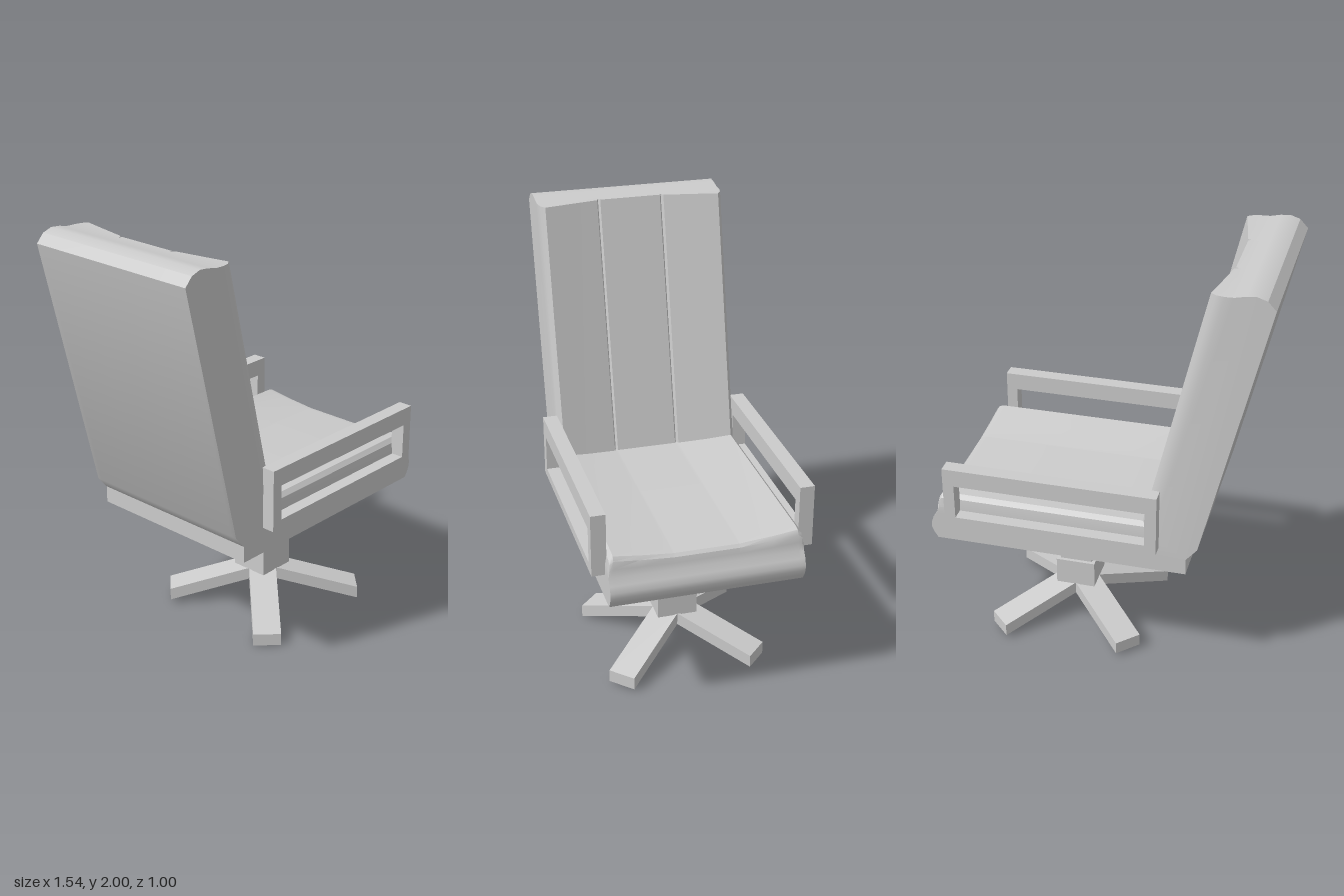
import * as THREE from 'three';
import { toCreasedNormals } from 'three/addons/utils/BufferGeometryUtils.js';

const material = new THREE.MeshStandardMaterial({ color: 0xcccccc, side: THREE.DoubleSide });

function addMesh(parent, name, geometry) {
  const mesh = new THREE.Mesh(geometry, material);
  mesh.name = name;
  parent.add(mesh);
  return mesh;
}

// Side outline of the cushions; seatY is the seat height, inset moves the backrest face back
function cushionOutline(seatY, inset) {
  const lift = y => 0.74 + (y - 0.74) * (seatY - 0.74) / 0.1;
  const faceX = y => -0.5 + (1.985 - y) * 0.236 + inset;
  return [
    [-0.435, 0.6], [0.74, 0.6], [0.757, 0.627], [0.768, 0.655], [0.768, 0.68],
    [0.758, 0.71], [0.738, 0.74], [0.734, lift(0.78)], [0.728, lift(0.815)],
    [0.715, lift(0.834)], [0.69, lift(0.84)],
    [faceX(seatY), seatY], [faceX(1.985), 1.985],
    [-0.6, 1.986], [-0.645, 1.996], [-0.69, 2], [-0.735, 1.985], [-0.772, 1.945],
    [-0.485, 0.74], [-0.435, 0.68]
  ];
}

// Loft the outline across the width: z, seat height, backrest inset
function cushionGeometry() {
  const half = [
    [0.44, 0.775, -0.06], [0.433, 0.82, -0.025], [0.415, 0.84, 0], [0.3, 0.825, -0.022],
    [0.16, 0.812, -0.047], [0.152, 0.811, -0.066], [0.144, 0.811, -0.052]
  ];
  const stations = [
    ...half.map(([z, s, f]) => [-z, s, f]),
    ...half.slice().reverse()
  ];
  const rings = stations.map(([z, s, f]) =>
    cushionOutline(s, f).map(([x, y]) => new THREE.Vector3(x, y, z)));
  const n = rings[0].length;
  const points = [];
  for (let j = 0; j < rings.length - 1; j++) {
    for (let i = 0; i < n; i++) {
      const k = (i + 1) % n;
      const a = rings[j][i], b = rings[j][k], c = rings[j + 1][i], d = rings[j + 1][k];
      points.push(a, b, c, b, d, c);
    }
  }
  // Side caps
  const last = rings[rings.length - 1];
  const flat = last.map(p => new THREE.Vector2(p.x, p.y));
  for (const [a, b, c] of THREE.ShapeUtils.triangulateShape(flat, [])) {
    points.push(last[a], last[b], last[c], rings[0][a], rings[0][c], rings[0][b]);
  }
  return toCreasedNormals(new THREE.BufferGeometry().setFromPoints(points), 0.5);
}

function rectangle(Type, x0, y0, x1, y1) {
  const path = new Type();
  path.moveTo(x0, y0).lineTo(x1, y0).lineTo(x1, y1).lineTo(x0, y1).closePath();
  return path;
}

export function createModel() {
  const chair = new THREE.Group();
  chair.name = 'swivelChair';

  addMesh(chair, 'seatAndBackrest', cushionGeometry());

  // Rectangular armrest frames
  const frame = rectangle(THREE.Shape, -0.31, 0.725, 0.677, 1.018);
  frame.holes.push(rectangle(THREE.Path, -0.257, 0.767, 0.625, 0.934));
  const armGeometry = new THREE.ExtrudeGeometry(frame, { depth: 0.067, bevelEnabled: false });
  addMesh(chair, 'leftArmrest', armGeometry).position.z = 0.433;
  addMesh(chair, 'rightArmrest', armGeometry).position.z = -0.5;

  const base = new THREE.Group();
  base.name = 'base';
  base.position.x = 0.18;
  chair.add(base);

  // Stepped square column: width, bottom, top
  const steps = [
    ['columnTop', 0.1, 0.51, 0.605],
    ['columnMiddle', 0.156, 0.318, 0.51],
    ['columnHub', 0.19, 0.185, 0.318]
  ];
  for (const [name, w, y0, y1] of steps) {
    addMesh(base, name, new THREE.BoxGeometry(w, y1 - y0, w)).position.y = (y0 + y1) / 2;
  }

  // Four sloping diagonal legs: angle in degrees, foot height
  const legs = [[45, 0.02], [135, 0.02], [225, 0], [315, 0.01]];
  for (const [angle, foot] of legs) {
    const reach = angle > 180 ? 0.472 : 0.455;
    const side = new THREE.Shape([
      [0, 0.13], [0.066, 0.13], [reach, foot], [reach, foot + 0.06], [0.066, 0.19], [0, 0.19]
    ].map(([x, y]) => new THREE.Vector2(x, y)));
    const geometry = new THREE.ExtrudeGeometry(side, { depth: 0.132, bevelEnabled: false });
    geometry.translate(0, 0, -0.066);
    addMesh(base, 'leg', geometry).rotation.y = THREE.MathUtils.degToRad(angle);
  }
  return chair;
}
